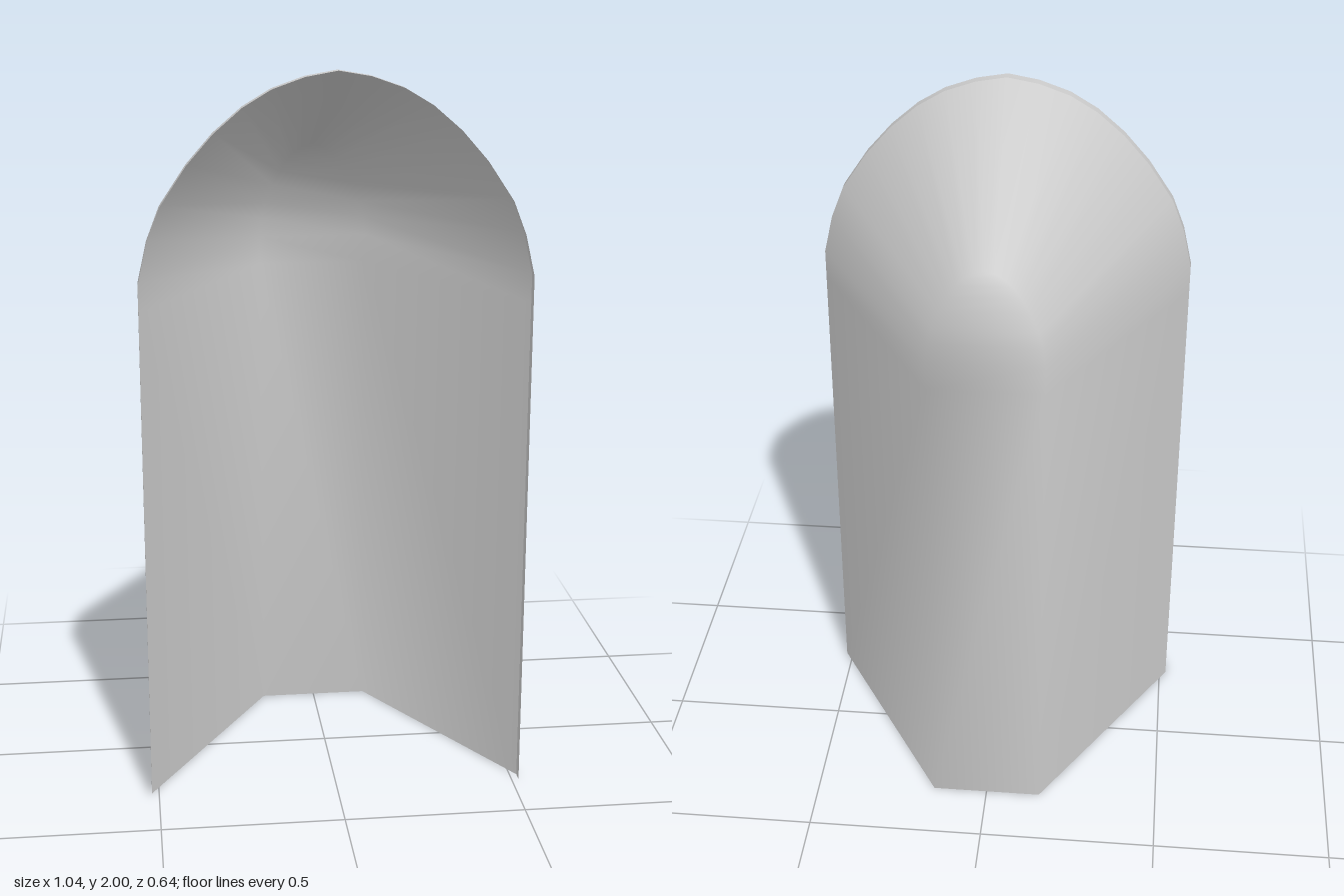
import * as THREE from 'three';

// Right half of the front arch, from the floor up to the crown
const HALF = [
  [0.52, 0], [0.52, 1.38], [0.52, 1.46], [0.495, 1.57], [0.46, 1.66], [0.39, 1.765],
  [0.32, 1.845], [0.245, 1.91], [0.17, 1.955], [0.085, 1.985], [0, 2],
];
const SPRING = 1.46;
const BACK_Z = -0.32, RIM_Z = 0.29, FRONT_Z = 0.32;

// Full arch, right foot to left foot
const frontArch = [...HALF, ...HALF.slice(0, -1).reverse().map(([x, y]) => [-x, y])];
// Narrower, lower arch at the back with the same springing height
const backArch = frontArch.map(([x, y]) => [x * 0.3, y > SPRING ? SPRING + (y - SPRING) * 0.5 : y]);

// Surface lofted between two arches; optionally closed by a panel at the back
function loft(back, backZ, front, frontZ, closed) {
  const n = back.length;
  const pos = [
    ...back.flatMap(([x, y]) => [x, y, backZ]),
    ...front.flatMap(([x, y]) => [x, y, frontZ]),
  ];
  const index = [];
  for (let i = 0; i < n - 1; i++) {
    index.push(i, i + 1, n + i, n + i, i + 1, n + i + 1);
  }
  if (closed) {
    const mid = (n - 1) / 2;
    for (let r = 0; r < mid; r++) {
      const l = n - 1 - r;
      index.push(l, l - 1, r);
      if (r + 1 < mid) index.push(r, l - 1, r + 1);
    }
  }
  const g = new THREE.BufferGeometry();
  g.setAttribute('position', new THREE.Float32BufferAttribute(pos, 3));
  g.setIndex(index);
  g.computeVertexNormals();
  return g;
}

export function createModel() {
  const group = new THREE.Group();
  group.name = 'archedNiche';
  const material = new THREE.MeshStandardMaterial({ color: 0xcccccc, side: THREE.DoubleSide });

  // Tapering walls, vault and back panel
  const shell = new THREE.Mesh(loft(backArch, BACK_Z, frontArch, RIM_Z, true), material);
  shell.name = 'nicheShell';

  // Straight collar around the opening
  const rim = new THREE.Mesh(loft(frontArch, RIM_Z, frontArch, FRONT_Z, false), material);
  rim.name = 'frontRim';

  group.add(shell, rim);
  return group;
}
